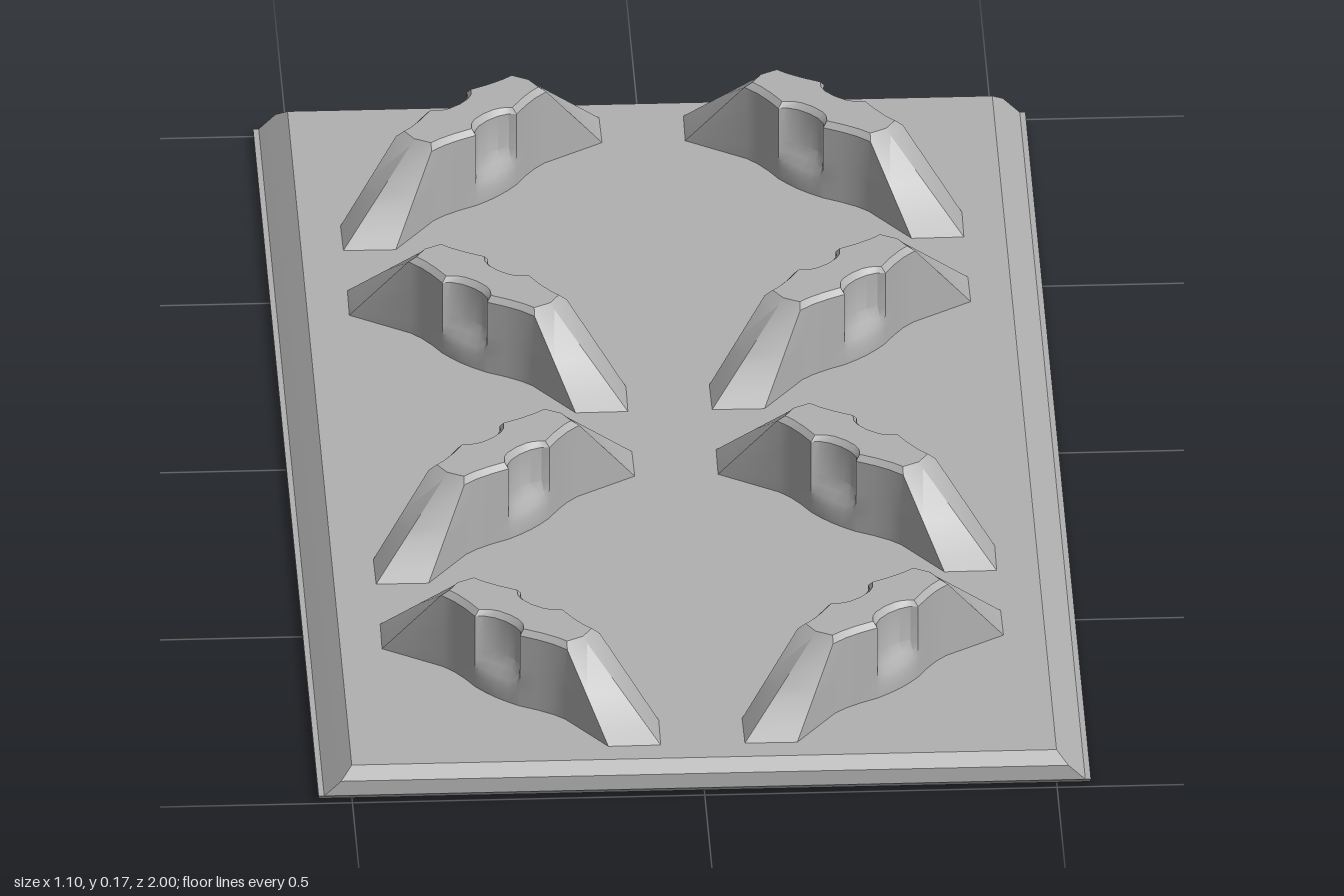
import * as THREE from 'three';
import { toCreasedNormals } from 'three/addons/utils/BufferGeometryUtils.js';

// Closed solid through stacked loops of [x, y, z] points
function loft(loops, crease) {
  const pos = [];
  const tri = (...pts) => pts.forEach((p) => pos.push(...p));
  const n = loops[0].length;
  const last = loops[loops.length - 1];
  for (let i = 0; i < n; i++) {
    const j = (i + 1) % n;
    for (let k = 0; k + 1 < loops.length; k++) {
      const lo = loops[k], hi = loops[k + 1];
      tri(lo[i], hi[i], lo[j]);
      tri(lo[j], hi[i], hi[j]);
    }
    tri([0, loops[0][0][1], 0], loops[0][i], loops[0][j]);
    tri([0, last[0][1], 0], last[j], last[i]);
  }
  const g = new THREE.BufferGeometry();
  g.setAttribute('position', new THREE.Float32BufferAttribute(pos, 3));
  return toCreasedNormals(g, crease);
}

const smooth = (a, b, t) => THREE.MathUtils.smoothstep(t, a, b);

// Outline of a block at height y; x runs along the block, z across it
function blockLoop(y, inset = 0) {
  const t = Math.min((y - 0.05) / 0.113, 1);
  const mix = (a, b) => a + (b - a) * t;
  const dent = 0.022 * smooth(0.068, 0.115, y);
  // flared end, narrow neck, then a swelling with a scooped recess in it
  const half = [
    [mix(0.217, 0.121), mix(0.053, 0.034)],
    [0.117, 0.034], [0.095, 0.035], [0.07, 0.04], [0.043, 0.048],
    [0.036, 0.049 - dent * 0.45], [0.02, 0.051 - dent * 0.85],
  ];
  const side = [
    ...half,
    [0, 0.052 - dent],
    ...half.slice().reverse().map(([u, v]) => [-u, v]),
  ];
  const tip = mix(0.269, 0.128);
  const run = [[tip, 0], ...side].map(([u, v]) => {
    const ends = Math.abs(u) > 0.1 ? inset : 0;
    return [u - Math.sign(u) * ends, y, Math.max(v - inset, 0)];
  });
  return [...run, ...run.map(([x, h, z]) => [-x, h, -z])];
}

export function createModel() {
  const model = new THREE.Group();
  const grey = new THREE.MeshStandardMaterial({ color: 0xb0b0b0 });
  grey.name = 'light grey';

  // Base plate: thin side lips, sloped sides, small chamfers at the ends
  const plate = [
    [0, 0.548, 0.985], [0.012, 0.548, 1], [0.012, 0.54, 1],
    [0.035, 0.516, 1], [0.05, 0.5, 0.98],
  ].map(([y, x, z]) => [[x, y, -z], [x, y, z], [-x, y, z], [-x, y, -z]]);
  const base = new THREE.Mesh(loft(plate, 0.2), grey);
  base.name = 'basePlate';
  model.add(base);

  // Eight diagonal retaining blocks set in diamonds
  const levels = [0.05, 0.07, 0.082, 0.095, 0.11, 0.163].map((y) => blockLoop(y));
  levels.push(blockLoop(0.171, 0.008));
  const blockGeometry = loft(levels, 0.5);
  for (const side of [-1, 1]) {
    [-0.75, -0.25, 0.25, 0.75].forEach((z, row) => {
      const block = new THREE.Mesh(blockGeometry, grey);
      block.name = 'retainingBlock';
      block.position.set(side * 0.25, 0, z);
      block.rotation.y = (row % 2 ? 1 : -1) * side * Math.PI / 4;
      model.add(block);
    });
  }
  return model;
}
